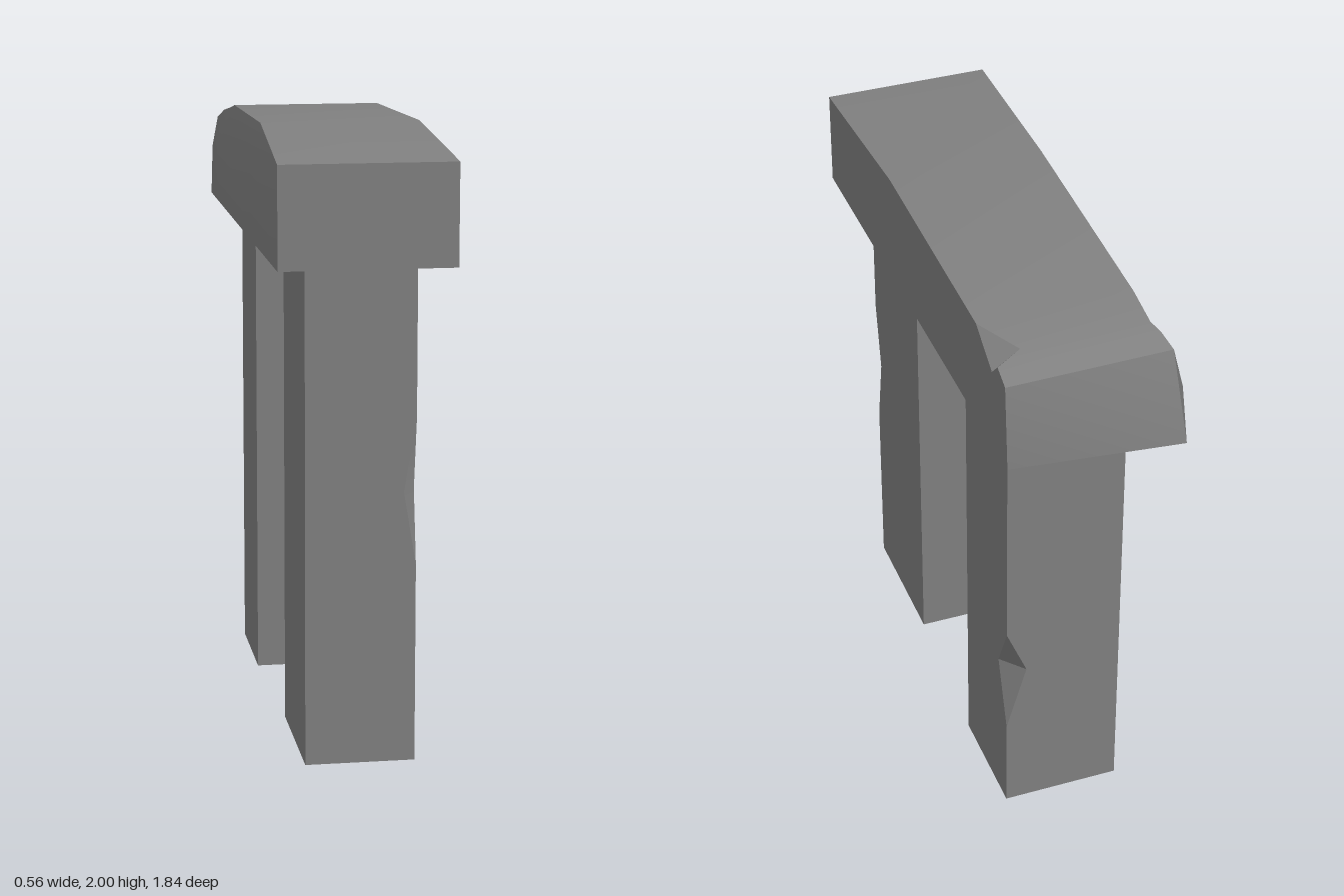
import * as THREE from 'three';
import { toCreasedNormals } from 'three/addons/utils/BufferGeometryUtils.js';

// Closed solid through rings of points, listed counter-clockwise about the travel direction.
function loft(rings) {
  const pos = [];
  const ab = new THREE.Vector3(), ac = new THREE.Vector3();
  const tri = (a, b, c) => {
    ab.set(b[0] - a[0], b[1] - a[1], b[2] - a[2]);
    ac.set(c[0] - a[0], c[1] - a[1], c[2] - a[2]);
    if (ab.cross(ac).length() > 1e-7) pos.push(...a, ...b, ...c); // skip collapsed faces
  };
  const n = rings[0].length;
  for (let k = 0; k < rings.length - 1; k++) {
    const r = rings[k], s = rings[k + 1];
    for (let i = 0; i < n; i++) {
      const j = (i + 1) % n;
      tri(r[i], r[j], s[j]);
      tri(r[i], s[j], s[i]);
    }
  }
  const first = rings[0], last = rings[rings.length - 1];
  for (let i = 1; i < n - 1; i++) {
    tri(first[0], first[i + 1], first[i]);
    tri(last[0], last[i], last[i + 1]);
  }
  const geo = new THREE.BufferGeometry();
  geo.setAttribute('position', new THREE.Float32BufferAttribute(pos, 3));
  geo.computeVertexNormals();
  return toCreasedNormals(geo, 0.5);
}

const TOP = 1.62; // height of the posts

export function createModel() {
  const group = new THREE.Group();
  const stone = new THREE.MeshStandardMaterial({ color: 0x808080 });
  stone.name = 'grey stone';

  const add = (name, rings) => {
    const mesh = new THREE.Mesh(loft(rings), stone);
    mesh.name = name;
    group.add(mesh);
  };

  // Front post, chipped on its front left edge
  const frontRing = (y, chipX, chipZ) => [
    [-0.18, y, 0.8], [0.175 - chipX, y, 0.8], [0.175, y, 0.8 - chipZ],
    [0.175, y, 0.32], [-0.18, y, 0.32],
  ];
  add('frontPost', [
    frontRing(0, 0, 0), frontRing(0.65, 0, 0), frontRing(0.89, 0.04, 0.045),
    frontRing(1.13, 0, 0), frontRing(TOP, 0, 0),
  ]);

  // Back post, chipped on its back left edge
  const backRing = (y, chipX, chipZ) => [
    [-0.2, y, -0.25], [0.2, y, -0.25], [0.2, y, -0.64 + chipZ],
    [0.2 - chipX, y, -0.64], [-0.2, y, -0.64],
  ];
  add('backPost', [
    backRing(0, 0, 0), backRing(0.34, 0, 0), backRing(0.58, 0.07, 0.08),
    backRing(0.75, 0, 0), backRing(TOP, 0, 0),
  ]);

  // Lintel: bowed top, worn right edge, chip near the back left corner, skewed back end
  const slab = (z, topY, wornX, wornY, chipX = 0.28, chipY = topY) => [
    [-0.28, TOP, z], [0.28, TOP, z], [0.28, chipY, z],
    [chipX, topY, z], [wornX, topY, z], [-0.28, wornY, z],
  ];
  const backEnd = slab(-0.835, 1.91, -0.265, 1.8);
  [-0.92, -0.857, -0.835, -0.835, -0.825, -0.87].forEach((z, i) => { backEnd[i][2] = z; });
  add('lintel', [
    backEnd,
    slab(-0.77, 1.94, -0.247, 1.83),
    slab(-0.72, 1.953, -0.23, 1.84, 0.19, 1.89),
    slab(-0.58, 1.975, -0.232, 1.86),
    slab(0.25, 2.0, -0.245, 1.91),
    slab(0.92, 1.945, -0.28, 1.945),
  ]);

  return group;
}
